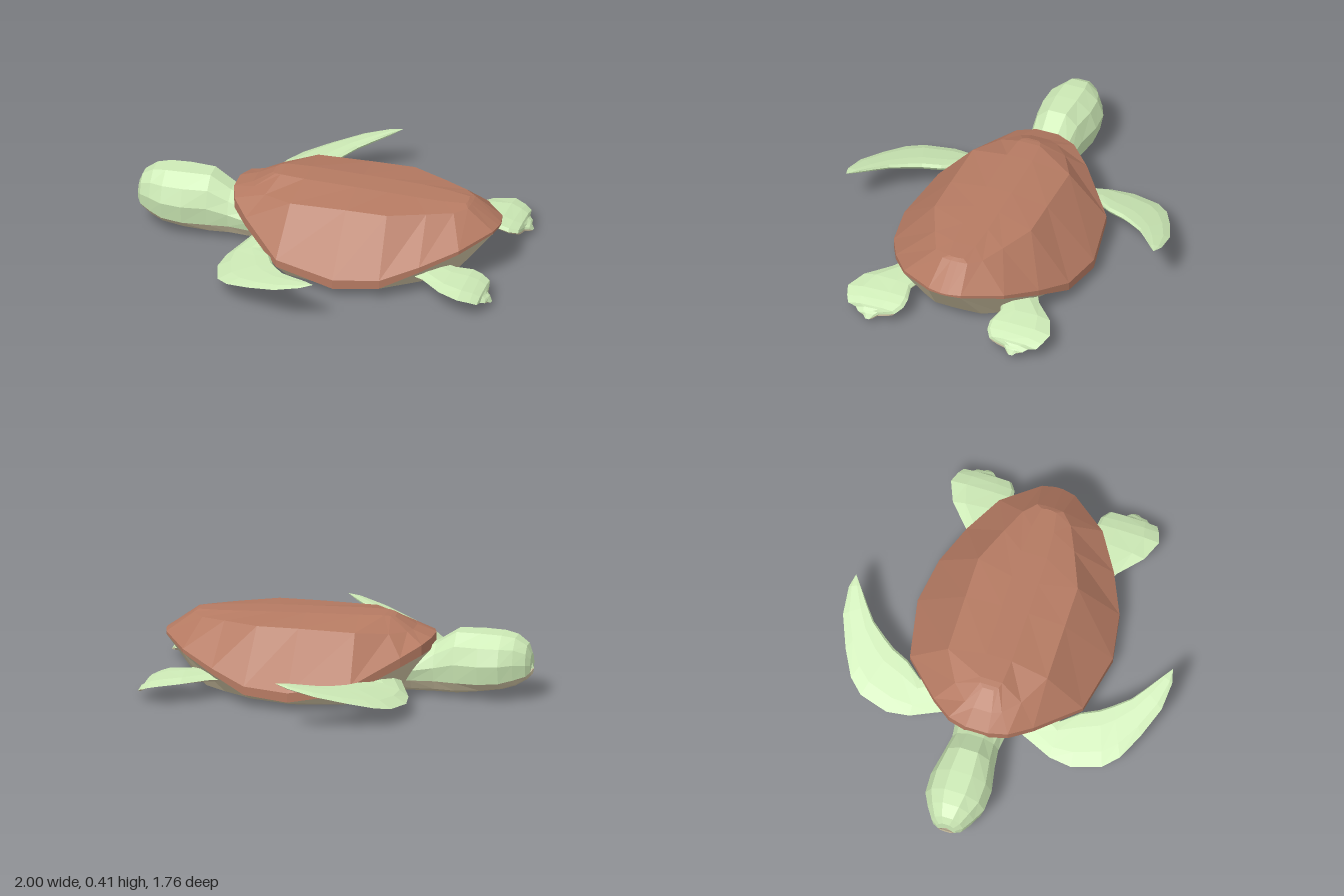
import * as THREE from 'three';

const SHELL = 0xb57a62, SKIN = 0xcdeab6, BELLY = 0xd0c4a4;

// Faceted surface through rows of points; rows may wrap into loops
function loft(name, rows, color, closed = false) {
  const pos = [];
  const n = rows[0].length;
  for (let i = 0; i < rows.length - 1; i++) {
    for (let j = 0; j < (closed ? n : n - 1); j++) {
      const k = (j + 1) % n;
      const a = rows[i][j], b = rows[i + 1][j], c = rows[i + 1][k], d = rows[i][k];
      pos.push(...a, ...b, ...c, ...a, ...c, ...d);
    }
  }
  const geo = new THREE.BufferGeometry();
  geo.setAttribute('position', new THREE.Float32BufferAttribute(pos, 3));
  geo.computeVertexNormals();
  const mesh = new THREE.Mesh(geo, new THREE.MeshStandardMaterial({
    color, flatShading: true, side: THREE.DoubleSide }));
  mesh.name = name;
  return mesh;
}

// Half outline (front to back) completed with its mirror image across z = 0
const ring = half => [...half, ...half.slice().reverse().map(([x, y, z]) => [x, y, -z])];
const collapse = (row, p) => row.map(() => p);

// Shell rim: x, half width, lower edge height, upper edge height
const RIM = [
  [-0.48, 0.06, 0.25, 0.31], [-0.45, 0.16, 0.24, 0.295], [-0.36, 0.27, 0.2, 0.25],
  [-0.14, 0.47, 0.1, 0.14], [0.18, 0.53, 0.05, 0.1], [0.42, 0.49, 0.065, 0.11],
  [0.61, 0.4, 0.14, 0.17], [0.79, 0.28, 0.21, 0.23], [0.92, 0.09, 0.25, 0.265], [0.935, 0.02, 0.255, 0.265],
];

function makeShell() {
  const low = ring(RIM.map(([x, z, y]) => [x, y, z]));
  const high = ring(RIM.map(([x, z, , y]) => [x, y, z]));
  const shoulder = ring([
    [-0.38, 0.345, 0.05], [-0.36, 0.345, 0.1], [-0.28, 0.35, 0.18], [-0.12, 0.37, 0.27],
    [0.18, 0.375, 0.27], [0.4, 0.375, 0.27], [0.59, 0.37, 0.19], [0.72, 0.365, 0.13],
    [0.78, 0.37, 0.07], [0.785, 0.37, 0.02]]);
  const crown = ring([
    [-0.28, 0.405, 0.03], [-0.26, 0.41, 0.05], [-0.23, 0.414, 0.06], [-0.1, 0.412, 0.07],
    [0.18, 0.405, 0.07], [0.35, 0.4, 0.07], [0.5, 0.395, 0.07], [0.65, 0.387, 0.06],
    [0.76, 0.381, 0.04], [0.765, 0.381, 0.01]]);
  const spine = crown.map(([x, y]) => [x, y, 0]);
  return loft('shell', [low, high, shoulder, crown, spine], SHELL, true);
}

function makeBelly() {
  const top = ring(RIM.map(([x, z, y]) => [x, y, z]));
  const edge = ring([
    [-0.33, 0.03, 0.05], [-0.32, 0.03, 0.12], [-0.27, 0.025, 0.2], [-0.1, 0.022, 0.4],
    [0.18, 0.022, 0.46], [0.4, 0.022, 0.4], [0.56, 0.022, 0.3], [0.68, 0.022, 0.21],
    [0.73, 0.025, 0.13], [0.735, 0.025, 0.03]]);
  const plate = edge.map(([x, , z]) => [0.2 + (x - 0.2) * 0.6, 0.002, z * 0.6]);
  return loft('belly', [top, edge, plate, collapse(plate, [0.2, 0, 0])], BELLY, true);
}

// Head and neck: x, half width, bottom, colour seam height, top
const HEAD = [
  [-1, 0.05, 0.13, 0.15, 0.24], [-0.98, 0.085, 0.11, 0.135, 0.29], [-0.92, 0.125, 0.075, 0.12, 0.33],
  [-0.85, 0.16, 0.055, 0.105, 0.343], [-0.74, 0.165, 0.038, 0.095, 0.347], [-0.61, 0.14, 0.02, 0.09, 0.345],
  [-0.5, 0.125, 0.02, 0.09, 0.275], [-0.38, 0.14, 0.02, 0.09, 0.23], [-0.2, 0.2, 0.02, 0.09, 0.2],
];

function makeHead() {
  const group = new THREE.Group();
  group.name = 'headAndNeck';
  const upper = HEAD.map(([x, w, , s, t]) => ring([
    [x, s, w * 0.88], [x, s + (t - s) * 0.4, w], [x, s + (t - s) * 0.76, w * 0.8], [x, t, w * 0.35]]));
  const lower = HEAD.map(([x, w, b, s]) => ring([
    [x, s, w * 0.88], [x, b + (s - b) * 0.3, w * 0.65], [x, b, w * 0.35]]));
  upper.unshift(collapse(upper[0], [-1, 0.19, 0]));
  lower.unshift(collapse(lower[0], [-1, 0.15, 0]));
  group.add(loft('headTop', upper, SKIN), loft('throat', lower, BELLY));
  return group;
}

// Flipper from stations of leading edge, trailing edge and thickness
function makeFlipper(name, stations, side, underColor) {
  const group = new THREE.Group();
  group.name = name;
  const sheet = dir => stations.map(([a, b, t]) => [0, 0.25, 0.7, 0.95, 1].map((f, i) => {
    const lift = dir * t * [0, 0.8, 1, 0.75, 0][i] / 2;
    const [x, y, z] = a.map((v, k) => v + (b[k] - v) * f);
    return [x, y + lift, z * side];
  }));
  group.add(loft(name + 'Top', sheet(1), SKIN), loft(name + 'Underside', sheet(-1), underColor));
  return group;
}

// Front flippers rise steadily towards the swept-back tip
const rise = (x, z) => [x, 0.08 + (x + 0.43) * 0.28, z];
const FRONT = [
  [-0.34, 0.16, -0.14, 0.2, 0.08], [-0.38, 0.26, -0.19, 0.3, 0.06], [-0.43, 0.38, -0.24, 0.38, 0.05],
  [-0.445, 0.5, -0.17, 0.47, 0.045], [-0.4, 0.655, -0.13, 0.56, 0.045], [-0.33, 0.73, -0.09, 0.62, 0.04],
  [-0.2, 0.8, -0.03, 0.7, 0.035], [-0.04, 0.865, 0.03, 0.75, 0.03], [0.1, 0.878, 0.12, 0.82, 0.02],
  [0.17, 0.86, 0.17, 0.86, 0],
].map(([ax, az, bx, bz, t]) => [rise(ax, az), rise(bx, bz), t]);

// Hind flippers are short paddles with a scalloped, drooping edge
const HIND = [
  [0.5, 0.34, 0.52, 0.15, 0.1, 0.07], [0.63, 0.41, 0.68, 0.22, 0.108, 0.05], [0.75, 0.52, 0.77, 0.25, 0.11, 0.045],
  [0.86, 0.565, 0.86, 0.23, 0.102, 0.04], [0.92, 0.545, 0.91, 0.235, 0.085, 0.04],
  [0.955, 0.525, 0.955, 0.265, 0.068, 0.036], [0.96, 0.48, 0.96, 0.3, 0.058, 0.034],
  [0.98, 0.46, 0.965, 0.35, 0.048, 0.03], [0.985, 0.43, 0.985, 0.37, 0.04, 0.028],
  [1, 0.41, 1, 0.39, 0.028, 0],
].map(([ax, az, bx, bz, y, t]) => [[ax, y, az], [bx, y, bz], t]);

export function createModel() {
  const turtle = new THREE.Group();
  turtle.name = 'turtle';
  turtle.add(makeShell(), makeBelly(), makeHead());
  for (const [label, side] of [['left', 1], ['right', -1]]) {
    turtle.add(makeFlipper(label + 'FrontFlipper', FRONT, side, SKIN));
    turtle.add(makeFlipper(label + 'HindFlipper', HIND, side, BELLY));
  }
  return turtle;
}
